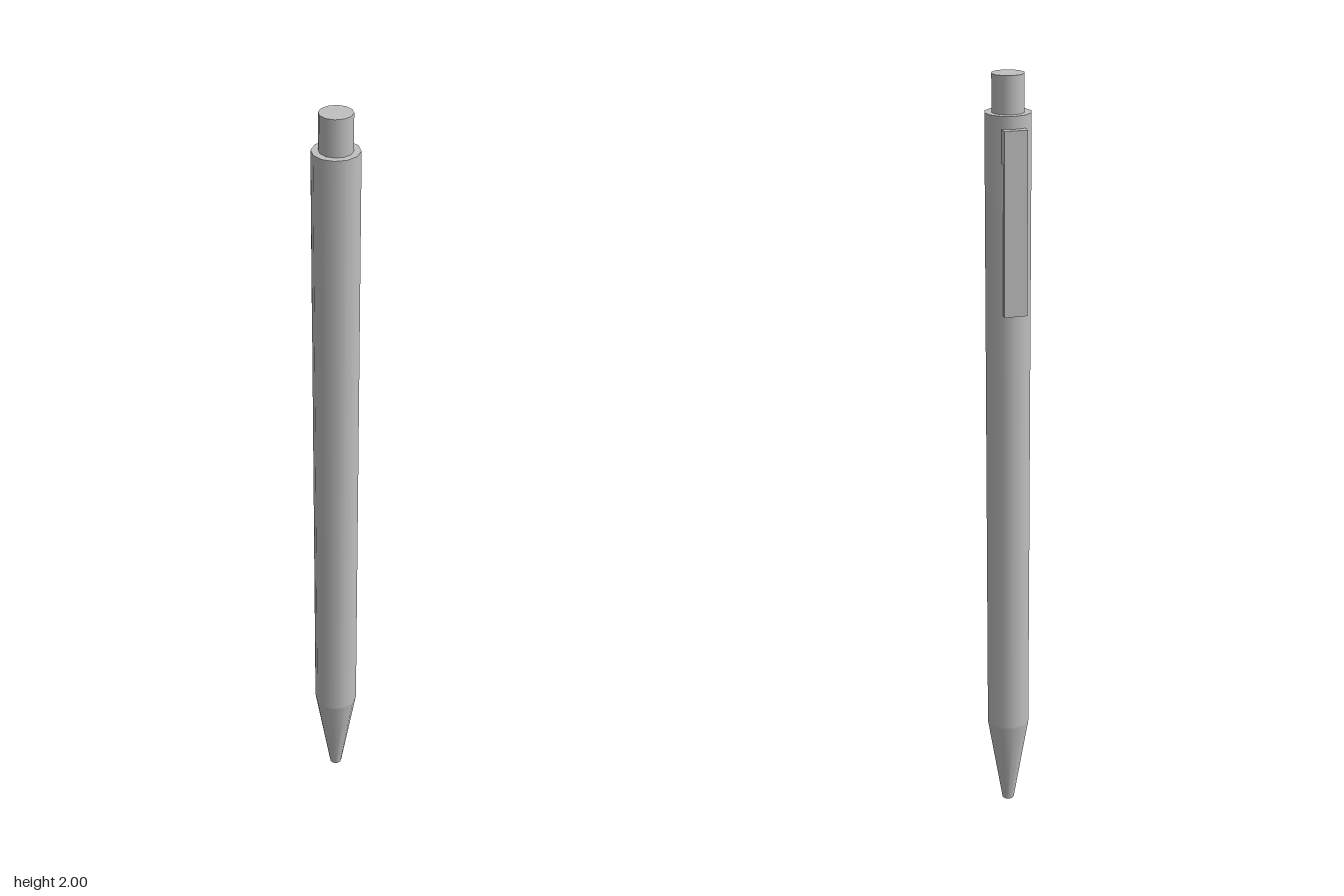
import * as THREE from 'three';

export function createModel() {
  const pen = new THREE.Group();
  pen.name = 'pen';
  const grey = new THREE.MeshStandardMaterial({ color: 0xc0c0c0 });
  grey.name = 'grey';
  const axisZ = 0.007; // the clip shifts the barrel slightly forward

  function add(name, geometry, x, y, z) {
    const mesh = new THREE.Mesh(geometry, grey);
    mesh.name = name;
    mesh.position.set(x, y, z);
    pen.add(mesh);
  }

  // Twelve-sided round section between two heights
  function section(name, bottomRadius, topRadius, y0, y1, open = false) {
    const geometry = new THREE.CylinderGeometry(topRadius, bottomRadius, y1 - y0, 12, 1, open);
    add(name, geometry, 0, (y0 + y1) / 2, axisZ);
  }

  // Box given by its extents, centred on x
  function block(name, width, y0, y1, z0, z1) {
    add(name, new THREE.BoxGeometry(width, y1 - y0, z1 - z0), 0, (y0 + y1) / 2, (z0 + z1) / 2);
  }

  section('tip', 0.016, 0.057, 0, 0.255);
  section('barrel', 0.057, 0.057, 0.255, 1.91);
  section('pushButton', 0.04, 0.04, 1.9, 2);

  // Clip on the back: a mount at the top and a long flat plate
  block('clipMount', 0.057, 1.8, 1.88, -0.055, -0.035);
  block('clipPlate', 0.057, 1.43, 1.88, -0.066, -0.054);

  return pen;
}
